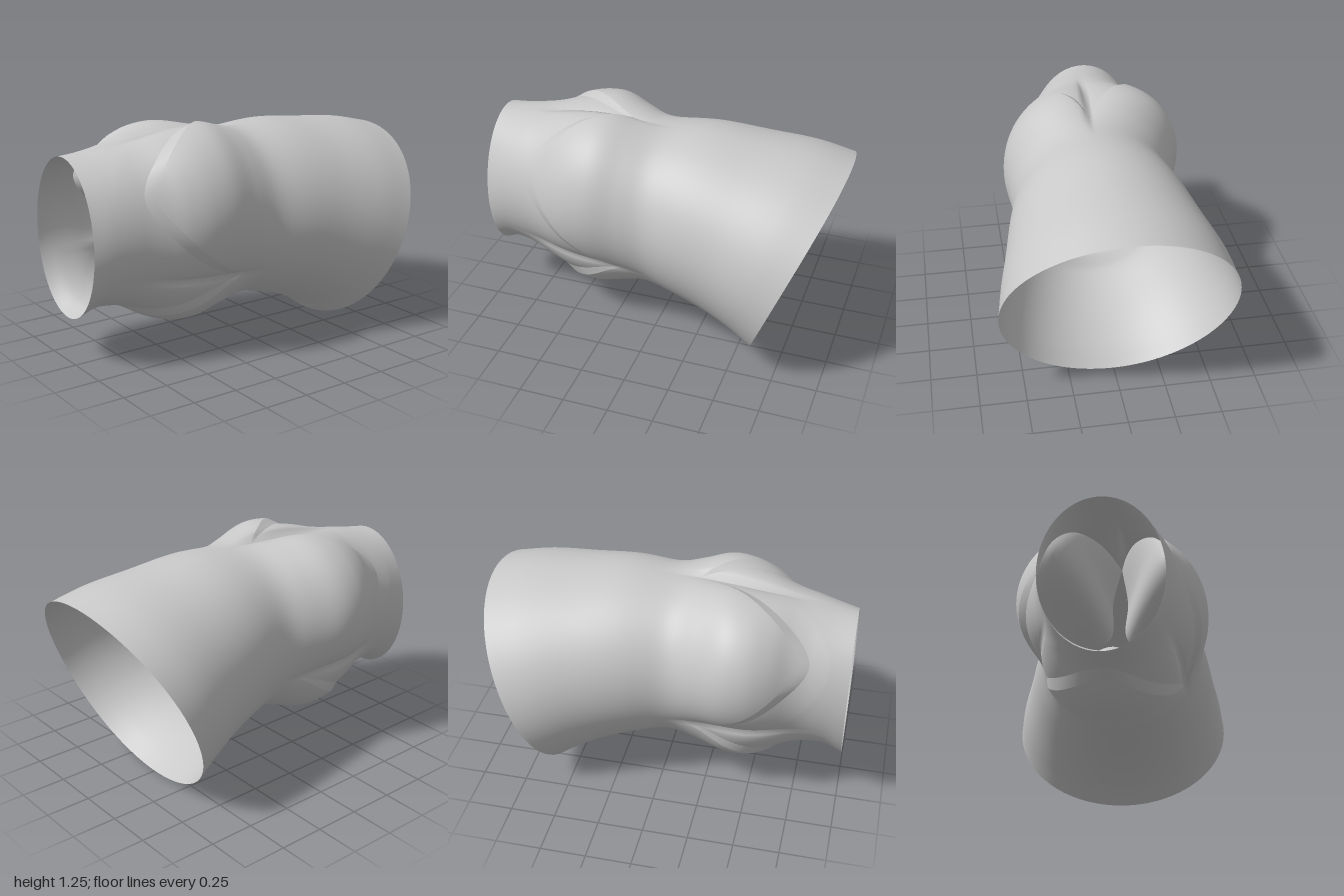
import * as THREE from 'three';
import { mergeVertices } from 'three/addons/utils/BufferGeometryUtils.js';

const DEG = Math.PI / 180;
const tissue = new THREE.MeshStandardMaterial({ color: 0xc8c8c8, side: THREE.DoubleSide });
tissue.name = 'tissueGrey';

// Cross-sections along the axis: u, centre y, centre z, radius y, radius z, tilt of the ring
const SECTIONS = [
  [-1, 0.68, -0.065, 0.43, 0.315, 0],
  [-0.9, 0.71, -0.05, 0.41, 0.335, 0],
  [-0.75, 0.72, -0.035, 0.42, 0.36, 0],
  [-0.5, 0.71, -0.025, 0.445, 0.405, 0],
  [-0.25, 0.71, -0.005, 0.46, 0.415, 0],
  [-0.03, 0.71, 0.01, 0.47, 0.447, 0],
  [0.18, 0.7, 0.01, 0.497, 0.5, 0.05],
  [0.4, 0.66, 0.005, 0.512, 0.55, 0.11],
  [0.6, 0.61, 0, 0.535, 0.6, 0.17],
  [0.75, 0.55, 0, 0.55, 0.628, 0.22],
];
// How far the sinuses swell along the axis
const SWELL = [[-1.1, 0], [-0.8, 0.12], [-0.7, 0.33], [-0.6, 0.72], [-0.48, 1], [-0.35, 1], [-0.2, 0.5], [-0.07, 0.08], [0.05, 0], [1, 0]];

// Sinuses: start and end angle (0 = up, 90 = +z), lowest point of the edge,
// swelling, fullness of the lobe, lean to one side, shift along the axis
const SINUSES = [
  { name: 'front', from: 2, to: 124, low: -0.68, amp: 0.11, power: 0.38, lean: -0.42, shift: 0.06 },
  { name: 'lower', from: 124, to: 243, low: -0.69, amp: 0.11, power: 0.5, lean: 0, shift: 0 },
  { name: 'back', from: 243, to: 362, low: -0.74, amp: 0.135, power: 0.8, lean: 0, shift: 0 },
];
const COMMISSURE_X = -0.15;
const INFLOW_SWELL = 0.7;
const PER_SINUS = 40;

// Smooth interpolation in a table whose first column is the key
function sample(table, x, col) {
  const n = table.length;
  let i = 0;
  while (i < n - 2 && x > table[i + 1][0]) i++;
  const slope = (k) => {
    const a = table[Math.max(k - 1, 0)], b = table[Math.min(k + 1, n - 1)];
    return (b[col] - a[col]) / (b[0] - a[0]);
  };
  const p = table[i], q = table[i + 1], h = q[0] - p[0];
  const t = THREE.MathUtils.clamp((x - p[0]) / h, 0, 1), t2 = t * t, t3 = t2 * t;
  return (2 * t3 - 3 * t2 + 1) * p[col] + (t3 - 2 * t2 + t) * h * slope(i)
    + (3 * t2 - 2 * t3) * q[col] + (t3 - t2) * h * slope(i + 1);
}

// Point on the vessel wall; swelling 1 is the full sinus
function wall(sinus, s, u, swelling) {
  const angle = (sinus.from + (sinus.to - sinus.from) * (s + 1) / 2) * DEG;
  const [cy, cz, ry, rz, tilt] = [1, 2, 3, 4, 5].map((c) => sample(SECTIONS, u, c));
  const lobe = Math.pow(Math.max(0, Math.cos(s * Math.PI / 2)), sinus.power) * (1 + sinus.lean * s);
  const bulge = swelling * sinus.amp * lobe * sample(SWELL, u - sinus.shift, 1);
  const c = Math.cos(angle);
  return new THREE.Vector3(
    u + tilt * c + tilt * 0.136 * c * c,
    cy + (ry + bulge) * c,
    cz + (rz + bulge) * Math.sin(angle));
}

// Scalloped edges of the sinuses and of the inflow tube
const sinusEdge = (k, s) => k.low + (COMMISSURE_X - k.low) * Math.pow(Math.abs(s), 1.65);
const inflowEdge = (k, s) => sinusEdge(k, s) - (0.05 + 0.05 * Math.abs(s)) * (1 - Math.pow(s, 8));
const sinusRoot = (k, s) => wall(k, s, sinusEdge(k, s), 1);
const inflowRoot = (k, s) => wall(k, s, inflowEdge(k, s), INFLOW_SWELL);

// Grid surface from a rule point(i, j)
function grid(cols, rows, point) {
  const pos = [], index = [];
  for (let j = 0; j <= rows; j++) {
    for (let i = 0; i <= cols; i++) pos.push(...point(i, j).toArray());
  }
  const w = cols + 1;
  for (let j = 0; j < rows; j++) {
    for (let i = 0; i < cols; i++) {
      const a = j * w + i;
      index.push(a, a + 1, a + w, a + 1, a + w + 1, a + w);
    }
  }
  let geo = new THREE.BufferGeometry();
  geo.setAttribute('position', new THREE.Float32BufferAttribute(pos, 3));
  geo.setIndex(index);
  geo = mergeVertices(geo, 1e-5);
  geo.computeVertexNormals();
  return geo;
}

// Surface running all the way round through the three sinuses
function ringSurface(rows, point) {
  return grid(PER_SINUS * 3, rows, (i, j) => {
    const k = Math.floor(i / PER_SINUS) % 3;
    const s = (i % PER_SINUS) / PER_SINUS * 2 - 1;
    return point(SINUSES[k], s, j / rows);
  });
}

function addMesh(parent, name, geometry) {
  const mesh = new THREE.Mesh(geometry, tissue);
  mesh.name = name;
  parent.add(mesh);
}

// Thick cusp hanging between two commissures
function makeLeaflet(sinus) {
  const group = new THREE.Group();
  group.name = sinus.name + 'Leaflet';
  const mid = (sinus.from + sinus.to) / 2 * DEG;
  const outward = new THREE.Vector3(0, Math.cos(mid), Math.sin(mid));
  const start = wall(sinus, -1, COMMISSURE_X, 0);
  const end = wall(sinus, 1, COMMISSURE_X, 0);
  const tip = new THREE.Vector3(-0.2, 0.68, 0).addScaledVector(outward, 0.055);
  const between = (p) => tip.clone().lerp(p, 0.5).addScaledVector(outward, 0.02);
  const freeEdge = new THREE.CatmullRomCurve3([start, between(start), tip, between(end), end]);

  const rim = (s, upper) => {
    const p = freeEdge.getPoint((s + 1) / 2);
    if (upper) {
      const taper = 1 - Math.pow(s, 6);
      p.addScaledVector(outward, 0.04 * taper);
      p.x += 0.02 * taper;
    }
    return p;
  };
  // Bowl: steep near the free edge, then a floor running out to the root
  const sheet = (upper) => grid(PER_SINUS, 18, (i, j) => {
    const s = i / PER_SINUS * 2 - 1, depth = 1 - s * s;
    const root = upper ? sinusRoot(sinus, s) : inflowRoot(sinus, s);
    const lip = rim(s, upper);
    const floor = root.clone().lerp(lip, 0.35);
    floor.x = THREE.MathUtils.lerp(floor.x, root.x - 0.03, depth);
    const skirt = lip.clone().addScaledVector(outward, 0.07 * depth);
    skirt.x -= 0.28 * depth;
    return new THREE.CubicBezierCurve3(root, floor, skirt, lip).getPoint(j / 18);
  });
  addMesh(group, 'leafletOutflowFace', sheet(true));
  addMesh(group, 'leafletInflowFace', sheet(false));
  addMesh(group, 'leafletFreeEdge', grid(PER_SINUS, 1, (i, j) => rim(i / PER_SINUS * 2 - 1, j === 1)));
  return group;
}

export function createModel() {
  const model = new THREE.Group();
  model.name = 'heartValveRoot';

  // Inflow tube with three pointed tongues
  addMesh(model, 'inflowTube', ringSurface(24, (k, s, t) =>
    wall(k, s, THREE.MathUtils.lerp(-1, inflowEdge(k, s), t), INFLOW_SWELL * Math.min(1, t * 2))));

  // Stepped band where the leaflets are rooted
  addMesh(model, 'attachmentBand', ringSurface(1, (k, s, t) =>
    t === 0 ? inflowRoot(k, s) : sinusRoot(k, s)));

  // Sinuses and the flaring outflow vessel with its slanted end
  addMesh(model, 'sinusesAndOutflow', ringSurface(64, (k, s, t) =>
    wall(k, s, THREE.MathUtils.lerp(sinusEdge(k, s), 0.75, t), 1)));

  for (const sinus of SINUSES) model.add(makeLeaflet(sinus));
  return model;
}
